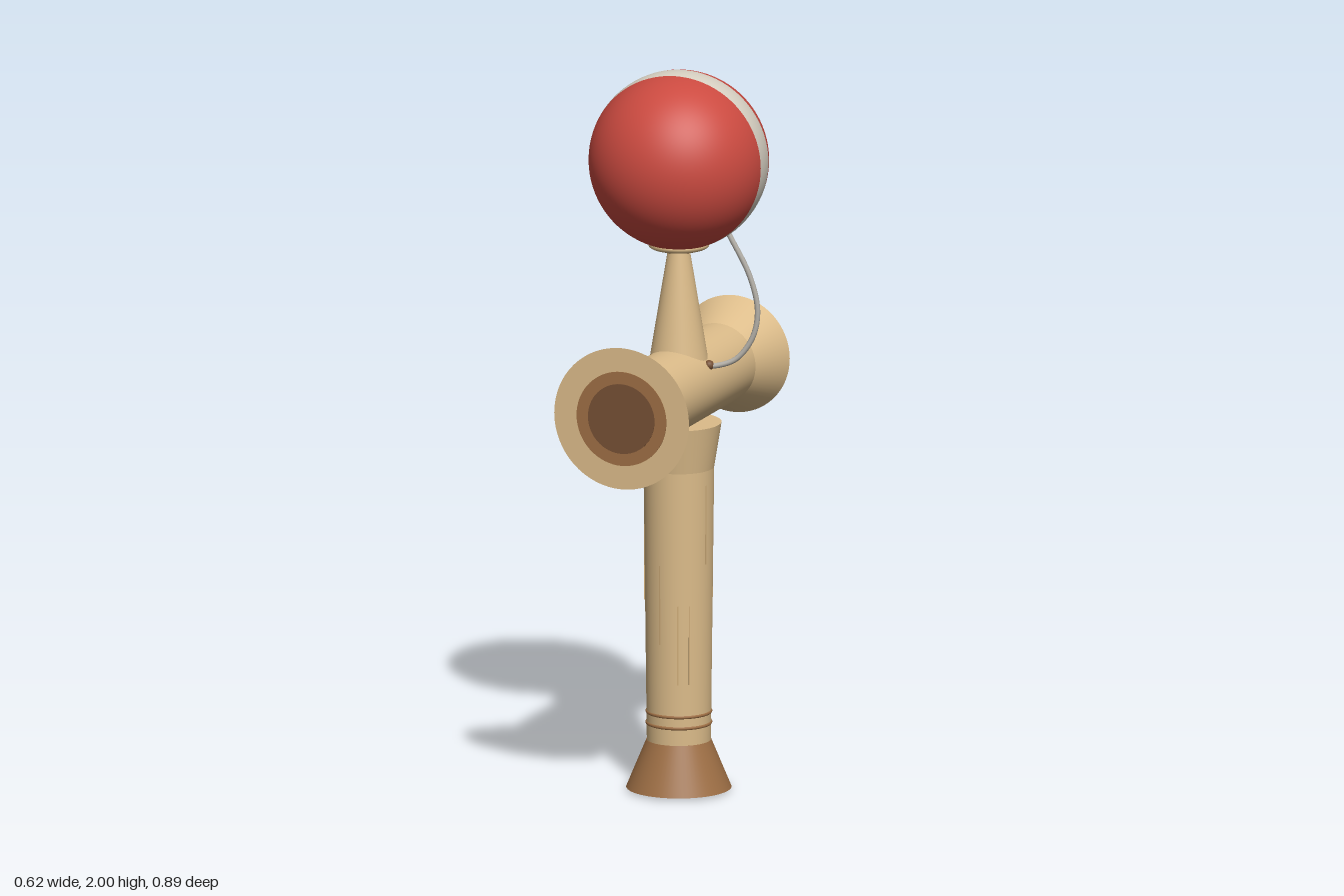
import * as THREE from 'three';

const material = (name, color) => {
  const m = new THREE.MeshStandardMaterial({ color });
  m.name = name;
  return m;
};

export function createModel() {
  const wood = material('light wood', 0xdcbc8a);
  const grainWood = material('grain wood', 0xcdab78);
  const brown = material('brown wood', 0x9e6f45);
  const dark = material('dark wood', 0x765034);
  const red = material('red paint', 0xcb4a40);
  const cream = material('cream paint', 0xd9d2c4);
  const hole = material('hole dark', 0x3a2818);
  const cord = material('cord grey', 0xb4b0a8);

  const root = new THREE.Group();
  root.name = 'cupAndBallToy';
  // Everything but the cord stands around one upright axis
  const body = new THREE.Group();
  body.name = 'body';
  body.position.set(0.018, 0, -0.018);
  root.add(body);

  const add = (parent, name, geometry, mat) => {
    const mesh = new THREE.Mesh(geometry, mat);
    mesh.name = name;
    parent.add(mesh);
    return mesh;
  };
  // Upright frustum from y0 (radius r0) to y1 (radius r1)
  const frustum = (parent, name, r0, y0, r1, y1, mat, open = false) =>
    add(parent, name, new THREE.CylinderGeometry(r1, r0, y1 - y0, 64, 1, open)
      .translate(0, (y0 + y1) / 2, 0), mat);

  // Handle: flared foot, shaft, shoulder and spike
  frustum(body, 'footInset', 0.063, 0, 0.063, 0.008, dark);
  frustum(body, 'foot', 0.143, 0.007, 0.088, 0.14, brown);
  frustum(body, 'shaft', 0.087, 0.14, 0.096, 0.9, wood);
  frustum(body, 'shoulder', 0.096, 0.9, 0.116, 1.025, wood);
  frustum(body, 'spike', 0.083, 1.18, 0.024, 1.54, wood);

  // Two scored rings above the foot
  for (const y of [0.188, 0.219]) {
    add(body, 'shaftRing', new THREE.TorusGeometry(0.086, 0.005, 8, 64)
      .rotateX(Math.PI / 2).translate(0, y, 0), brown);
  }

  // Fine grain streaks on the shaft
  for (let i = 0; i < 9; i++) {
    const a = i * 2.4, y = 0.42 + (i % 4) * 0.11, r = 0.0868 + (y - 0.14) * 0.0118;
    const streak = add(body, 'grainStreak', new THREE.BoxGeometry(0.003, 0.22, 0.003), grainWood);
    streak.position.set(Math.sin(a) * r, y, Math.cos(a) * r);
    streak.rotation.y = a;
  }

  // Crossbar with a large front cup and a smaller back cup; local +y faces front
  const bar = new THREE.Group();
  bar.name = 'crossbar';
  bar.position.y = 1.125;
  bar.rotation.set(Math.PI / 2, -Math.PI / 9, 0, 'YXZ');
  body.add(bar);
  frustum(bar, 'barMiddle', 0.111, -0.282, 0.111, 0.282, wood, true);
  frustum(bar, 'frontCup', 0.111, 0.282, 0.197, 0.417, wood);
  frustum(bar, 'backCup', 0.163, -0.402, 0.111, -0.282, wood);
  // Stained discs inside both cup rims
  frustum(bar, 'frontCupStain', 0.131, 0.415, 0.131, 0.419, brown);
  frustum(bar, 'frontCupCentre', 0.097, 0.417, 0.097, 0.421, dark);
  frustum(bar, 'backCupStain', 0.126, -0.404, 0.126, -0.4, brown);
  frustum(bar, 'backCupCentre', 0.08, -0.406, 0.08, -0.402, dark);

  // Ball: two red caps with a cream band between
  const ball = new THREE.Group();
  ball.name = 'ball';
  ball.position.y = 1.755;
  body.add(ball);
  const half = 0.157, edge = Math.PI / 2 - half;
  const slices = [
    ['ballFront', 0, edge, red, 28],
    ['ballBand', edge, half * 2, cream, 6],
    ['ballBack', Math.PI - edge, edge, red, 28],
  ];
  for (const [name, start, length, mat, rows] of slices) {
    add(ball, name, new THREE.SphereGeometry(0.245, 80, rows, 0, Math.PI * 2, start, length)
      .rotateX(Math.PI / 2).rotateY(-0.245), mat);
  }
  // Hole in the underside with a wooden rim
  add(ball, 'holeRim', new THREE.TorusGeometry(0.073, 0.011, 10, 48)
    .rotateX(Math.PI / 2).translate(0, -0.233, 0), wood);
  frustum(ball, 'ballHole', 0.068, -0.246, 0.068, -0.238, hole);

  // Cord from the crossbar up to the ball
  const path = new THREE.CatmullRomCurve3([
    [0.095, 1.188, 0.012], [0.125, 1.19, 0.015], [0.175, 1.21, 0.02],
    [0.219, 1.27, 0.025], [0.233, 1.345, 0.025], [0.212, 1.44, 0.02],
    [0.15, 1.565, 0.01],
  ].map((p) => new THREE.Vector3(...p)));
  add(root, 'cord', new THREE.TubeGeometry(path, 60, 0.0075, 10), cord);
  add(root, 'cordHole', new THREE.SphereGeometry(0.014, 16, 12)
    .translate(0.101, 1.19, 0.013), dark);

  return root;
}
